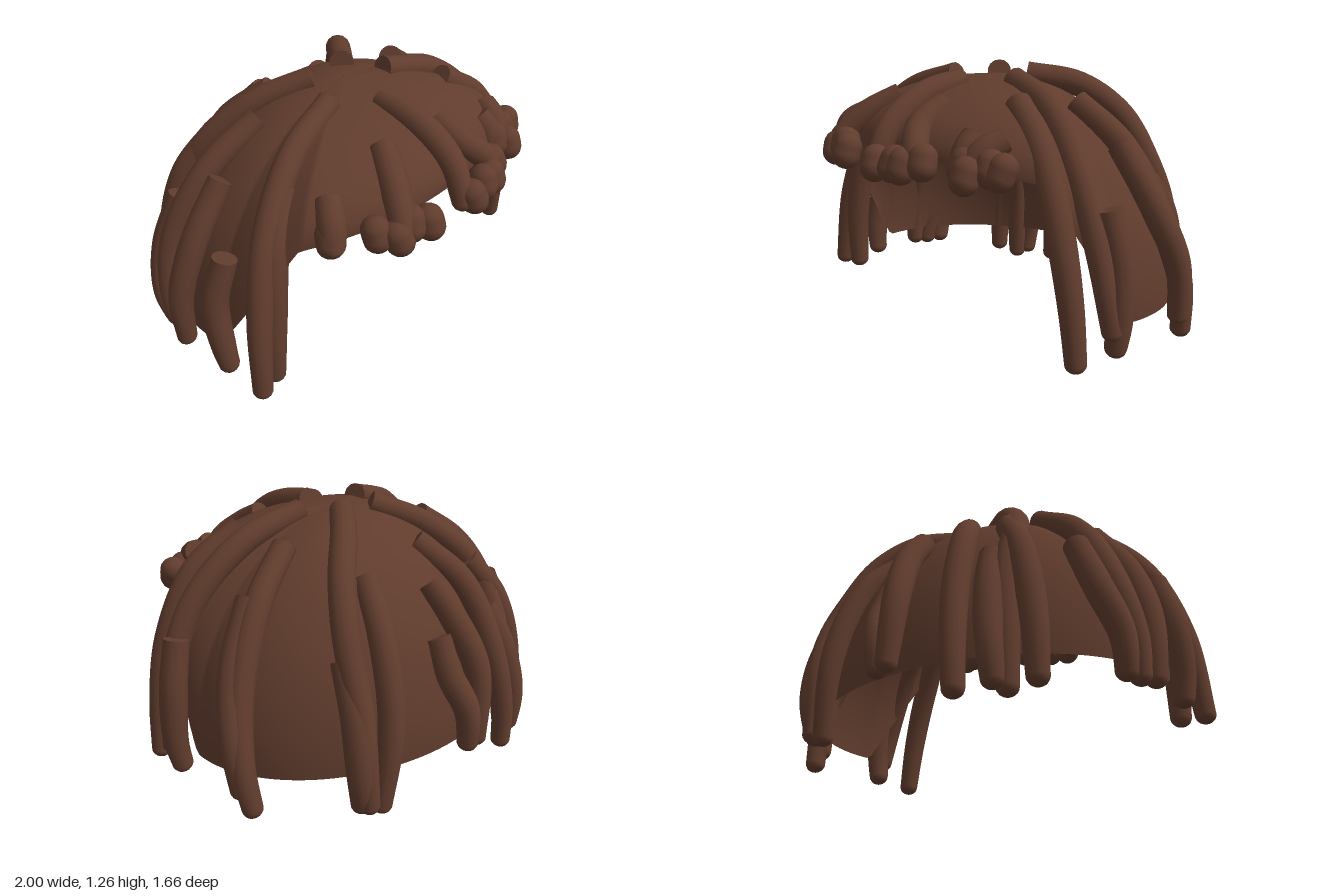
import * as THREE from 'three';
import { mergeGeometries } from 'three/addons/utils/BufferGeometryUtils.js';
import { ParametricGeometry } from 'three/addons/geometries/ParametricGeometry.js';

const hair = new THREE.MeshStandardMaterial({ color: 0x603c2d, side: THREE.DoubleSide });
hair.name = 'brown hair';

// Height of the cap's lower edge: high over the face, sloping down to the nape
function rimHeight(angle) {
  const p = Math.abs(angle);
  if (p < 0.9) return 0.9 - 0.08 * (p / 0.9) ** 2;
  return THREE.MathUtils.lerp(0.82, 0.2, Math.min(1, (p - 0.9) / 0.53));
}

// Each meridian of the cap is a quarter ellipse from the crown to the rim
function capPoint(u, v, target) {
  const angle = Math.PI - 2 * Math.PI * u;
  const a = THREE.MathUtils.lerp(0.003, Math.PI / 2, v);
  const rim = rimHeight(angle);
  target.set(
    0.91 * Math.sin(angle) * Math.sin(a),
    rim + (1.2 - rim) * Math.cos(a),
    0.03 + (-0.05 + 0.69 * Math.cos(angle)) * Math.sin(a)
  );
}

// A tube with a flat root, a slightly fuller middle and a rounded tip
function lockGeometry(points, radius) {
  const curve = new THREE.CatmullRomCurve3(points.map(p => new THREE.Vector3(...p)));
  const rings = 48, sides = 14;
  const tube = new THREE.TubeGeometry(curve, rings, radius, sides);
  const pos = tube.attributes.position, nor = tube.attributes.normal;
  const tipStart = 1 - Math.min(0.4, radius * 0.7 / curve.getLength());
  const p = new THREE.Vector3(), n = new THREE.Vector3();
  for (let i = 0; i <= rings; i++) {
    // the last rings are packed into the tip so that it rounds off
    const k = Math.max(0, (i - 40) / 8);
    const t = i <= 40 ? i / 40 * tipStart : tipStart + (1 - tipStart) * Math.sin(k * Math.PI / 2);
    const round = Math.cos(k * Math.PI / 2);
    const width = radius * (1 - 0.2 * t + 0.18 * Math.sin(Math.PI * t));
    const center = curve.getPointAt(Math.min(t, 1)), tangent = curve.getTangentAt(Math.min(t, 1));
    for (let j = 0; j <= sides; j++) {
      const id = i * (sides + 1) + j;
      n.fromBufferAttribute(nor, id);
      p.copy(center).addScaledVector(n, width * round);
      pos.setXYZ(id, p.x, p.y, p.z);
      n.multiplyScalar(round).addScaledVector(tangent, Math.sqrt(Math.max(0, 1 - round * round))).normalize();
      nor.setXYZ(id, n.x, n.y, n.z);
    }
  }
  const root = new THREE.CircleGeometry(radius, sides);
  const q = new THREE.Quaternion().setFromUnitVectors(new THREE.Vector3(0, 0, 1), curve.getTangentAt(0).negate());
  root.applyQuaternion(q).translate(...points[0]);
  return mergeGeometries([tube, root]);
}

const leftLocks = [
  [[0.2, 1.19, 0.1], [0.5, 1.09, 0.16], [0.74, 0.86, 0.23], [0.88, 0.55, 0.25], [0.94, 0.17, 0.21]],
  [[0.42, 1.12, 0.28], [0.64, 0.95, 0.35], [0.79, 0.65, 0.39], [0.86, 0.35, 0.39], [0.89, 0.06, 0.38]],
  [[0.88, 0.72, 0.2], [0.93, 0.5, 0.18], [0.94, 0.25, 0.18], [0.91, 0.08, 0.17]],
  [[0.45, 1.1, -0.05], [0.67, 0.92, -0.12], [0.85, 0.6, -0.19], [0.92, 0.3, -0.26], [0.9, 0.04, -0.3]],
  [[0.69, 0.93, -0.08], [0.85, 0.66, -0.14], [0.93, 0.4, -0.22], [0.92, 0.12, -0.25]],
];
const rightLocks = [
  [[-0.2, 1.19, 0.12], [-0.5, 1.09, 0.18], [-0.74, 0.87, 0.26], [-0.88, 0.52, 0.33], [-0.93, 0.09, 0.37]],
  [[-0.6, 1.0, 0.23], [-0.74, 0.81, 0.3], [-0.81, 0.45, 0.34], [-0.82, 0.09, 0.34]],
  [[-0.86, 0.71, 0.11], [-0.93, 0.5, 0.1], [-0.94, 0.25, 0.14], [-0.92, 0.1, 0.15]],
  [[-0.4, 1.1, -0.13], [-0.65, 0.91, -0.21], [-0.84, 0.6, -0.27], [-0.92, 0.3, -0.23], [-0.9, 0.1, -0.18]],
  [[-0.72, 0.75, -0.34], [-0.83, 0.5, -0.36], [-0.9, 0.28, -0.31], [-0.88, 0.1, -0.26]],
  [[-0.67, 0.92, -0.1], [-0.84, 0.68, -0.11], [-0.94, 0.4, -0.13], [-0.94, 0.1, -0.13]],
];
const backLocks = [
  [[0.1, 1.2, -0.07], [0.28, 1.15, -0.25], [0.43, 1.01, -0.38], [0.51, 0.8, -0.48], [0.55, 0.5, -0.6], [0.53, 0.03, -0.64]],
  [[0.27, 0.98, -0.37], [0.35, 0.8, -0.53], [0.41, 0.45, -0.65], [0.46, 0, -0.64]],
  [[0.53, 0.71, -0.48], [0.57, 0.5, -0.58], [0.58, 0.25, -0.62], [0.54, 0.03, -0.6]],
  [[0, 0.93, -0.52], [-0.02, 0.8, -0.63], [-0.07, 0.55, -0.75], [-0.05, 0.18, -0.78]],
  [[0.06, 0.71, -0.62], [0.06, 0.55, -0.69], [0.02, 0.38, -0.77], [0, 0.17, -0.77]],
  [[-0.12, 1.06, -0.33], [-0.25, 0.87, -0.52], [-0.32, 0.55, -0.66], [-0.36, 0.25, -0.72], [-0.37, 0.01, -0.72]],
  [[-0.1, 1.2, -0.07], [-0.3, 1.09, -0.25], [-0.46, 0.9, -0.41], [-0.51, 0.6, -0.55], [-0.55, 0.01, -0.61]],
  [[-0.42, 0.92, -0.42], [-0.55, 0.72, -0.51], [-0.64, 0.4, -0.56], [-0.66, 0.04, -0.56]],
  [[-0.42, 0.71, -0.54], [-0.47, 0.5, -0.63], [-0.51, 0.25, -0.68], [-0.52, 0.03, -0.66]],
];
const fringeLocks = [
  [[0, 1.18, 0.25], [0, 1.13, 0.47], [0, 1.01, 0.65], [-0.01, 0.8, 0.75]],
  [[0.13, 1.1, 0.46], [0.15, 1.02, 0.6], [0.22, 0.94, 0.68], [0.28, 0.82, 0.7]],
  [[-0.22, 1.11, 0.44], [-0.31, 1.02, 0.58], [-0.37, 0.92, 0.67], [-0.39, 0.81, 0.7]],
  [[-0.54, 1.0, 0.42], [-0.6, 0.94, 0.49], [-0.64, 0.81, 0.53]],
  [[0.54, 0.99, 0.46], [0.5, 0.94, 0.55], [0.46, 0.81, 0.61]],
  [[0.41, 1, 0.51], [0.42, 0.93, 0.57], [0.41, 0.82, 0.59]],
];
// Curled ends of the fringe
const curls = [
  [-0.62, 0.88, 0.5], [-0.47, 0.88, 0.62], [-0.41, 0.86, 0.69], [-0.33, 0.89, 0.69], [-0.25, 0.87, 0.73],
  [0.03, 0.86, 0.76], [0.14, 0.87, 0.74], [0.2, 0.87, 0.74], [0.28, 0.89, 0.69],
  [0.44, 0.89, 0.6], [0.5, 0.86, 0.64], [0.56, 0.89, 0.56], [0.62, 0.88, 0.55],
];

export function createModel() {
  const model = new THREE.Group();
  model.name = 'hairpiece';
  const add = (geometry, name, parent) => {
    const mesh = new THREE.Mesh(geometry, hair);
    mesh.name = name;
    parent.add(mesh);
    return mesh;
  };

  add(new ParametricGeometry(capPoint, 160, 28), 'cap', model);

  // Hanging locks on each side
  const sets = { leftLock: leftLocks, rightLock: rightLocks, backLock: backLocks, fringeLock: fringeLocks };
  for (const [name, locks] of Object.entries(sets)) {
    const group = new THREE.Group();
    group.name = name + 's';
    locks.forEach((points, i) => add(lockGeometry(points, 0.058), name + (i + 1), group));
    model.add(group);
  }

  // Fringe curls, each a short plump capsule
  const curlGroup = new THREE.Group();
  curlGroup.name = 'fringeCurls';
  const curlShape = new THREE.CapsuleGeometry(0.064, 0.04, 6, 14);
  curls.forEach((c, i) => {
    const curl = add(curlShape, 'fringeCurl' + (i + 1), curlGroup);
    curl.position.set(...c);
    curl.rotation.set(-0.35, 0, (i % 3 - 1) * 0.2);
  });
  model.add(curlGroup);
  return model;
}
